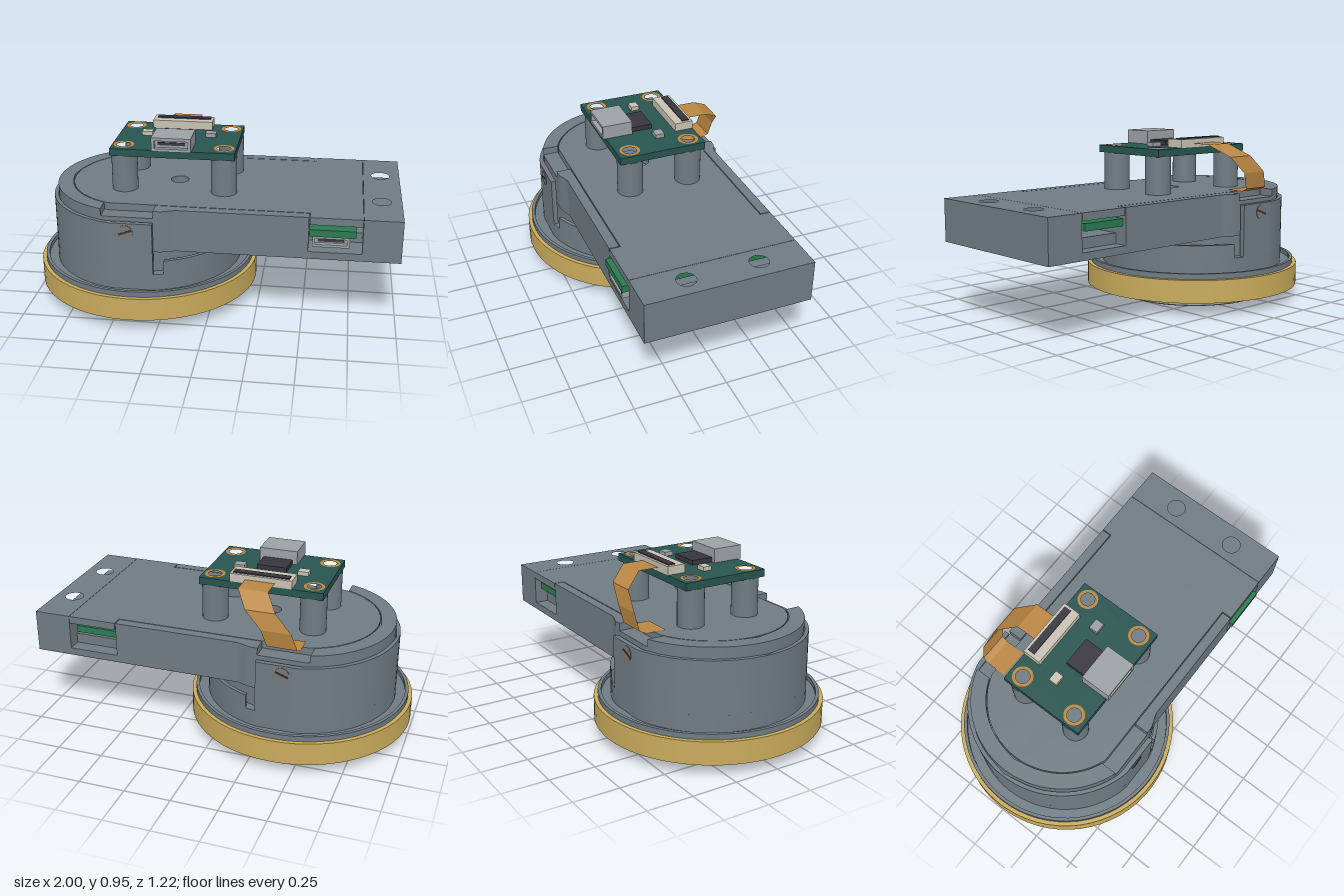
import * as THREE from 'three';
import { toCreasedNormals } from 'three/addons/utils/BufferGeometryUtils.js';

const CX = -0.39; // axis of the round housing

export function createModel() {
  const model = new THREE.Group();
  model.name = 'sensorAssembly';
  const mat = (name, color, extra = {}) => {
    const m = new THREE.MeshStandardMaterial({ color, ...extra });
    m.name = name;
    return m;
  };
  const gray = mat('slateGray', 0x707b83);
  const gold = mat('brass', 0xc9ab5b);
  const silver = mat('silver', 0x9ca1a4);
  const teal = mat('boardTeal', 0x27544f);
  const green = mat('boardGreen', 0x2a7a52);
  const beige = mat('beige', 0xc8c2b3);
  const dark = mat('chipBlack', 0x37363d);
  const copper = mat('copper', 0xba8642, { side: THREE.DoubleSide });
  const steel = mat('screwSteel', 0x7d7670);

  const add = (name, geo, material) => {
    const mesh = new THREE.Mesh(geo, material);
    mesh.name = name;
    model.add(mesh);
    return mesh;
  };
  // box given by its limits
  const box = (name, material, x0, x1, y0, y1, z0, z1) => {
    const g = new THREE.BoxGeometry(x1 - x0, y1 - y0, z1 - z0);
    g.translate((x0 + x1) / 2, (y0 + y1) / 2, (z0 + z1) / 2);
    return add(name, g, material);
  };
  // plan outline [x, z] raised from y0 to y1, holes as [x, z, r]
  const slab = (name, material, pts, y0, y1, holes = []) => {
    const s = new THREE.Shape(pts.map(([x, z]) => new THREE.Vector2(x, -z)));
    for (const [x, z, r] of holes) s.holes.push(new THREE.Path().absarc(x, -z, r, 0, Math.PI * 2, true));
    const g = new THREE.ExtrudeGeometry(s, { depth: y1 - y0, bevelEnabled: false, curveSegments: 24 });
    g.rotateX(-Math.PI / 2);
    g.translate(0, y0, 0);
    return add(name, toCreasedNormals(g, 0.5), material);
  };
  const lathe = (name, material, pts) => {
    const g = new THREE.LatheGeometry(pts.map(p => new THREE.Vector2(...p)), 64);
    g.translate(CX, 0, 0);
    return add(name, toCreasedNormals(g, 0.4), material);
  };
  // half width of a circle around the housing axis, cut flat at a limit
  const round = (r, flat) => x => Math.min(flat, Math.sqrt(Math.max(0, r * r - (x - CX) ** 2)));
  const edge = (x0, x1, f, n = 32) => Array.from({ length: n + 1 }, (_, i) => {
    const x = x0 + (x1 - x0) * (1 - Math.cos(Math.PI * i / n)) / 2;
    return [x, f(x)];
  });
  const solid = (x0, x1, f) => {
    const side = edge(x0, x1, f);
    return [...side, ...side.map(([x, z]) => [x, -z - 1e-5]).reverse()];
  };
  // mirrored pair of bands between an outer and an inner curve
  const bands = (name, x0, x1, outer, inner, y0, y1) => {
    for (const s of [1, -1]) {
      const pts = [...edge(x0, x1, outer), ...edge(x0, x1, inner).reverse()];
      slab(name, gray, pts.map(([x, z]) => [x, s * z]), y0, y1);
    }
  };

  // --- Lens, brass ring and flange ---
  lathe('lens', silver, [[0, 0], [0.25, 0.002], [0.41, 0.006], [0.42, 0.012], [0.42, 0.035]]);
  lathe('lensCollar', gray, [[0, 0.03], [0.435, 0.03], [0.435, 0.075]]);
  lathe('brassRing', gold, [[0.42, 0.07], [0.612, 0.07], [0.612, 0.195], [0.57, 0.195]]);
  lathe('flange', gray, [[0.59, 0.19], [0.59, 0.225], [0.572, 0.225], [0.572, 0.2], [0.48, 0.2]]);

  // --- Round housing: core, base and slotted wall ---
  add('housingCore', new THREE.CylinderGeometry(0.475, 0.475, 0.22, 64).translate(CX, 0.3, 0), gray);
  const wallOut = round(0.521, 0.509);
  const wallIn = round(0.5, 0.482);
  slab('housingBase', gray, solid(CX - 0.521, CX + 0.521, wallOut), 0.2, 0.29);
  bands('housingWall', CX - 0.521, -0.275, wallOut, wallIn, 0.29, 0.575);
  bands('lowWall', -0.22, CX + 0.521, wallOut, wallIn, 0.29, 0.365);
  slab('wallTab', gray, solid(0.08, CX + 0.521, x => Math.min(0.21, wallOut(x))), 0.29, 0.405);

  // --- Side screws ---
  for (const s of [1, -1]) {
    const screw = add('sideScrew', new THREE.CylinderGeometry(0.04, 0.04, 0.02, 32).rotateX(Math.PI / 2), steel);
    screw.position.set(-0.415, 0.525, s * 0.502);
    const slot = add('screwSlot', new THREE.BoxGeometry(0.074, 0.01, 0.004), dark);
    slot.position.set(-0.415, 0.525, s * 0.512);
    slot.rotation.z = 0.35;
  }

  // --- Cap and arm ---
  const capCurve = round(0.497, 0.472);
  const capOut = x => (x > CX ? Math.max(0.445, capCurve(x)) : capCurve(x));
  const plateCurve = round(0.41, 0.387);
  const plateOut = x => (x > CX ? 0.387 : plateCurve(x));
  const gap = x => (x < CX - 0.415 ? 0 : x > CX ? 0.392 : round(0.415, 0.392)(x));
  slab('capBody', gray, [...solid(CX - 0.497, -0.1, capOut)], 0.405, 0.595);
  box('armBody', gray, -0.1, 0.525, 0.405, 0.595, -0.445, 0.445);
  box('pocketFloor', gray, 0.525, 0.8, 0.405, 0.445, -0.445, 0.445);
  box('pocketStep', gray, 0.525, 0.8, 0.445, 0.5, -0.37, 0.3);
  bands('capRim', CX - 0.497, -0.55, capOut, gap, 0.595, 0.635);
  bands('armRim', -0.275, 0.525, capOut, gap, 0.595, 0.635);
  const half = [...edge(CX - 0.41, 0.53, plateOut, 40), [0.53, 0.445], [0.798, 0.445]];
  slab('coverPlate', gray, [...half, ...half.map(([x, z]) => [x, -z - 1e-5]).reverse()],
    0.595, 0.635, [[-0.21, 0, 0.05]]);

  // --- End block with two blind holes ---
  box('endBlock', gray, 0.8, 1, 0.405, 0.53, -0.445, 0.445);
  slab('endBlockTop', gray, [[0.8, -0.445], [1, -0.445], [1, 0.445], [0.8, 0.445]],
    0.53, 0.635, [[0.895, 0.19, 0.05], [0.895, -0.195, 0.05]]);

  // --- Port: silver shell with a dark mouth and tongue, facing front ---
  const port = (x0, x1, y0, y1, z0, z1, t) => {
    const s = new THREE.Shape([[x0, y0], [x1, y0], [x1, y1], [x0, y1]].map(p => new THREE.Vector2(...p)));
    s.holes.push(new THREE.Path([[x0 + t, y0 + t], [x0 + t, y1 - t], [x1 - t, y1 - t], [x1 - t, y0 + t]]
      .map(p => new THREE.Vector2(...p))));
    const g = new THREE.ExtrudeGeometry(s, { depth: z1 - z0, bevelEnabled: false });
    add('portShell', g.translate(0, 0, z0), silver);
    box('portInside', silver, x0 + t, x1 - t, y0 + t, y1 - t, z0, z1 - 0.025);
    const ym = (y0 + y1) / 2;
    box('portSlot', dark, x0 + 2 * t, x1 - 2 * t, ym - 0.008, ym + 0.008, z1 - 0.03, z1 - 0.02);
  };

  // --- Small board in the arm ---
  box('armBoard', green, 0.527, 0.765, 0.54, 0.578, -0.425, 0.467);
  port(0.545, 0.735, 0.48, 0.54, 0.25, 0.458, 0.014);

  // --- Raised board on four posts ---
  const corners = [];
  for (const x of [-0.485, 0.055]) for (const z of [0.157, -0.178]) corners.push([x, z]);
  slab('mainBoard', teal, [[-0.55, -0.25], [0.12, -0.25], [0.12, 0.232], [-0.55, 0.232]],
    0.84, 0.88, corners.map(([x, z]) => [x, z, 0.037]));
  for (const [x, z] of corners) {
    add('post', new THREE.CylinderGeometry(0.07, 0.07, 0.205, 32).translate(x, 0.7375, z), gray);
    add('solderPad', new THREE.RingGeometry(0.037, 0.055, 32).rotateX(-Math.PI / 2).translate(x, 0.882, z), copper);
  }

  // --- Parts on the raised board ---
  port(-0.32, -0.11, 0.88, 0.955, 0.08, 0.248, 0.016);
  box('mainChip', dark, -0.295, -0.132, 0.88, 0.905, -0.042, 0.105);
  box('capacitor', beige, -0.42, -0.362, 0.88, 0.902, -0.057, -0.01);
  box('resistor', silver, -0.07, -0.012, 0.88, 0.902, -0.07, -0.02);
  box('cableSocket', beige, -0.385, -0.05, 0.88, 0.925, -0.25, -0.148);
  box('socketLatch', dark, -0.366, -0.065, 0.924, 0.931, -0.235, -0.195);

  // --- Ribbon cable: centre points swept by its width in x ---
  const path = [[-0.215, 0.9, -0.245], [-0.215, 0.9, -0.365], [-0.285, 0.835, -0.467], [-0.375, 0.745, -0.487],
    [-0.405, 0.655, -0.475], [-0.41, 0.639, -0.44], [-0.41, 0.639, -0.33]];
  const verts = [];
  for (let i = 0; i < path.length - 1; i++) {
    const [a, b] = [path[i], path[i + 1]];
    const p = ([x, y, z], s) => [x + s * 0.08, y, z];
    for (const v of [p(a, -1), p(a, 1), p(b, 1), p(a, -1), p(b, 1), p(b, -1)]) verts.push(...v);
  }
  const ribbon = new THREE.BufferGeometry();
  ribbon.setAttribute('position', new THREE.Float32BufferAttribute(verts, 3));
  ribbon.computeVertexNormals();
  // wind so that the upper and outer side is the front
  const pos = ribbon.attributes.position, nor = ribbon.attributes.normal;
  if (nor.getY(0) < 0) {
    for (let i = 0; i < pos.count; i += 3) {
      const q = [pos.getX(i), pos.getY(i), pos.getZ(i)];
      pos.setXYZ(i, pos.getX(i + 1), pos.getY(i + 1), pos.getZ(i + 1));
      pos.setXYZ(i + 1, ...q);
    }
    ribbon.computeVertexNormals();
  }
  add('ribbonCable', ribbon, copper);

  return model;
}
